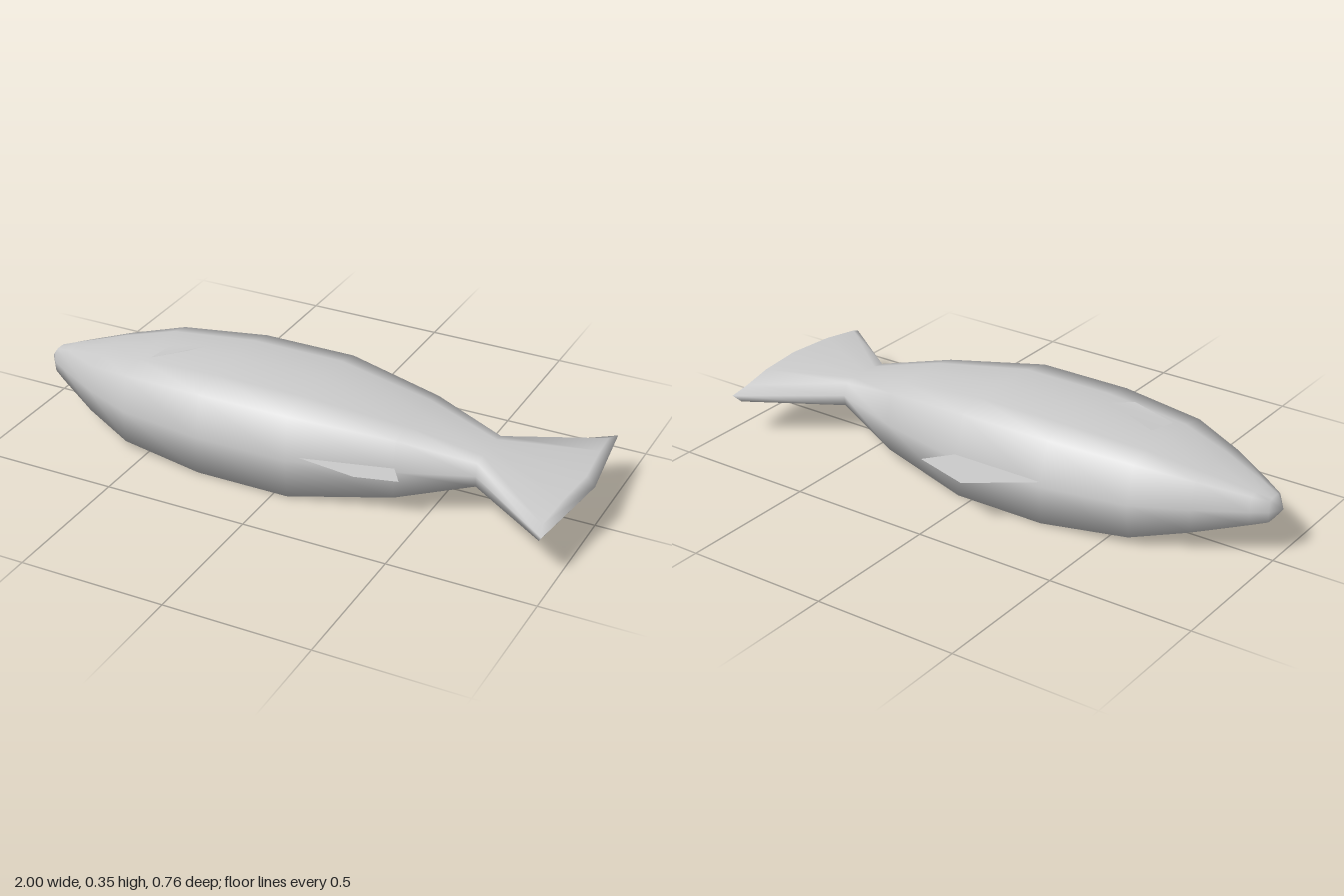
import * as THREE from 'three';

const MID_Y = 0.165;

export function createModel() {
  const group = new THREE.Group();
  const material = new THREE.MeshStandardMaterial({ color: 0xcccccc });
  const finMaterial = new THREE.MeshStandardMaterial({ color: 0xcccccc, side: THREE.DoubleSide });

  // Cross-section in unit z, y: rounded upper flank, flat lower flank
  const section = [
    [1, -0.1], [0.9, 0.82], [0.5, 0.96], [0, 1], [-0.5, 0.96],
    [-0.84, 0.82], [-1, -0.1], [-0.95, -0.97], [0, -1], [0.96, -0.97],
  ];

  // Stations from nose to tail: x, zMin, zMax, yMin, yMax
  const stations = [
    [-0.97, 0.01, 0.085, 0.125, 0.205],
    [-0.92, -0.022, 0.115, 0.113, 0.219],
    [-0.76, -0.11, 0.2, 0.072, 0.262],
    [-0.58, -0.19, 0.27, 0.03, 0.303],
    [-0.28, -0.24, 0.306, 0.006, 0.325],
    [0.05, -0.24, 0.306, 0.006, 0.325],
    [0.39, -0.168, 0.217, 0.05, 0.276],
    [0.64, -0.09, 0.135, 0.12, 0.21],
    [0.97, -0.315, 0.375, 0.132, 0.197],
  ];

  // Body and tail as one smooth skin
  const n = section.length;
  const last = stations.length - 1;
  const positions = [];
  const index = [];
  stations.forEach(([x, z0, z1, y0, y1], i) => {
    for (const [u, v] of section) {
      const tail = i === last;
      const side = Math.abs(u) === 1;
      // The tail rim sweeps forward at its tips and thins toward them
      const px = tail ? x - (side ? 0.015 : 0.032 * Math.abs(u)) : x;
      const pv = tail && v === 0.82 ? 0.5 : v;
      const pu = side && tail ? u : u * (tail ? 0.97 : 1);
      positions.push(px, (y0 + y1) / 2 + pv * (y1 - y0) / 2, (z0 + z1) / 2 + pu * (z1 - z0) / 2);
    }
  });
  for (let i = 0; i < last; i++) {
    for (let k = 0; k < n; k++) {
      const a = i * n + k, b = i * n + (k + 1) % n;
      index.push(a, a + n, b, b, a + n, b + n);
    }
  }
  // Nose tip and tail end
  const nose = positions.length / 3;
  positions.push(-1, MID_Y, 0.05, 1, MID_Y, 0.03);
  for (let k = 0; k < n; k++) {
    const next = (k + 1) % n;
    index.push(nose, k, next);
    index.push(nose + 1, last * n + next, last * n + k);
  }
  const skin = new THREE.BufferGeometry();
  skin.setAttribute('position', new THREE.Float32BufferAttribute(positions, 3));
  skin.setIndex(index);
  skin.computeVertexNormals();
  const body = new THREE.Mesh(skin, material);
  body.name = 'bodyAndTail';
  group.add(body);

  // Paper-thin fins, each a four-cornered sheet
  const addFin = (name, corners) => {
    const geometry = new THREE.BufferGeometry();
    geometry.setAttribute('position', new THREE.Float32BufferAttribute(corners.flat(), 3));
    geometry.setIndex([0, 1, 2, 0, 2, 3]);
    geometry.computeVertexNormals();
    const fin = new THREE.Mesh(geometry, finMaterial);
    fin.name = name;
    group.add(fin);
  };
  addFin('dorsalFin', [
    [0.05, MID_Y, -0.23], [0.125, MID_Y, -0.325], [-0.08, MID_Y, -0.385], [-0.29, MID_Y, -0.23],
  ]);
  addFin('ventralFin', [
    [0.08, MID_Y, 0.29], [0.3, MID_Y, 0.317], [0.44, MID_Y, 0.28], [0.385, MID_Y, 0.2],
  ]);
  addFin('pectoralFin', [
    [-0.55, 0.3, 0.135], [-0.415, 0.348, 0.112], [-0.36, 0.354, 0.05], [-0.55, 0.3, 0.035],
  ]);

  return group;
}
